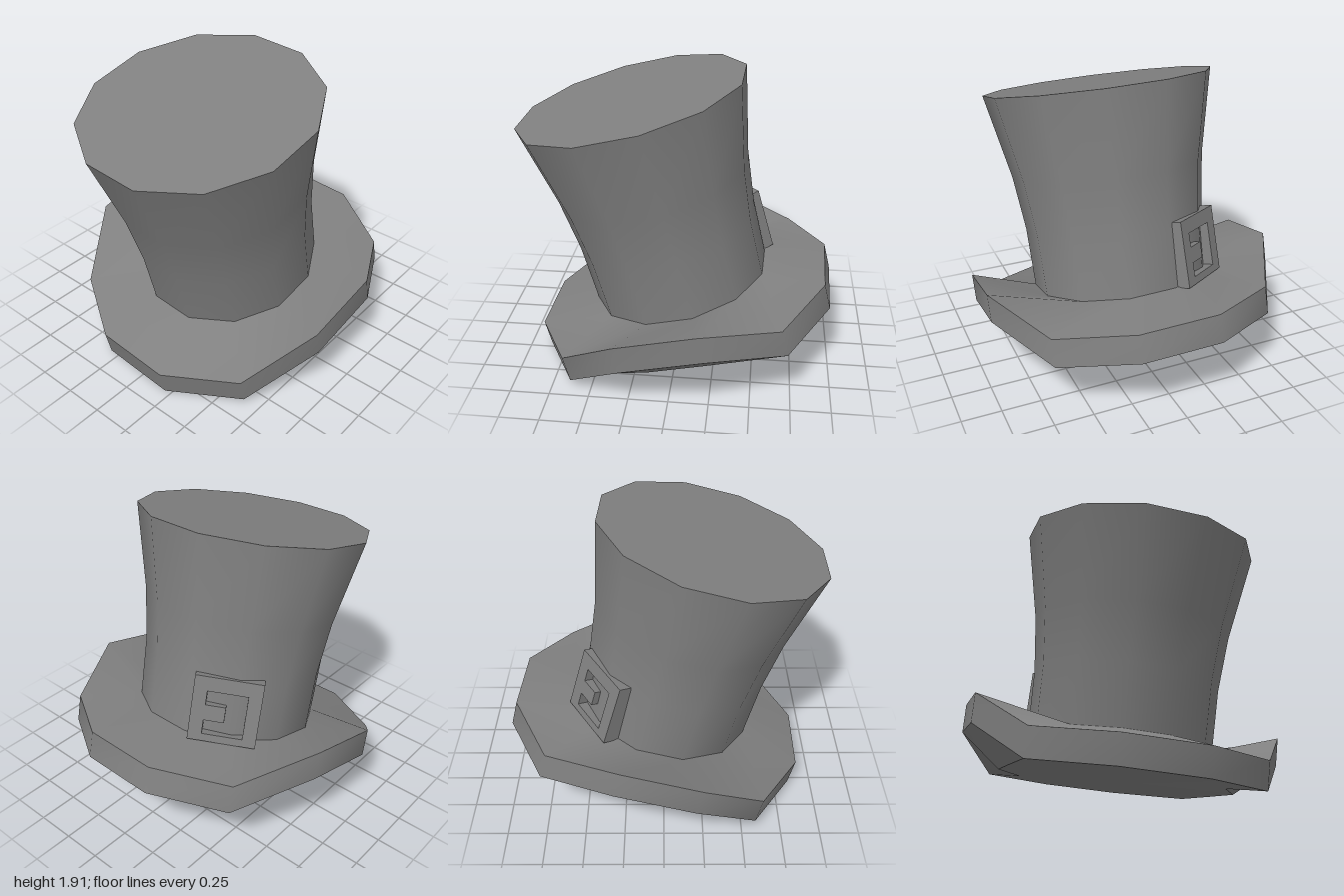
import * as THREE from 'three';
import { toCreasedNormals } from 'three/addons/utils/BufferGeometryUtils.js';

const SIDES = 12;
const deg = THREE.MathUtils.degToRad;
const material = new THREE.MeshStandardMaterial({ color: 0x808080 });

// Twelve-sided loft through [radius, height, lift] rings; lift curls the ring up at both sides
function loft(rings) {
  const point = (i, j) => {
    const a = deg(((i % SIDES) + 0.5) * 30 - 2.5);
    const [r, y, lift = 0] = rings[j];
    const up = Math.abs(Math.sin(a)) > 0.9 ? lift : 0;
    return [r * Math.sin(a), y + up, r * Math.cos(a)];
  };
  const pos = [];
  for (let j = 0; j < rings.length - 1; j++) {
    for (let i = 0; i < SIDES; i++) {
      const a = point(i, j), b = point(i + 1, j);
      const c = point(i + 1, j + 1), d = point(i, j + 1);
      if (rings[j][0] > 0) pos.push(...a, ...b, ...c);
      if (rings[j + 1][0] > 0) pos.push(...a, ...c, ...d);
    }
  }
  const g = new THREE.BufferGeometry();
  g.setAttribute('position', new THREE.Float32BufferAttribute(pos, 3));
  return toCreasedNormals(g, deg(36));
}

function addMesh(parent, name, geometry) {
  const mesh = new THREE.Mesh(geometry, material);
  mesh.name = name;
  parent.add(mesh);
  return mesh;
}

// Square plate with an opening and a prong reaching in from one side
function buckleGeometry() {
  const s = 0.21;
  const plate = new THREE.Shape([[-s, -s], [s, -s], [s, s], [-s, s]]
    .map(([x, y]) => new THREE.Vector2(x, y)));
  const w = 0.125, h = 0.14, prong = 0.05, drop = 0.022;
  plate.holes.push(new THREE.Path([
    [-w, h], [w, h], [w, -h], [-w, -h],
    [-w, -prong], [0, -prong], [0, prong], [-w, prong],
  ].map(([x, y]) => new THREE.Vector2(x, y - drop))));
  return new THREE.ExtrudeGeometry(plate, { depth: 0.12, bevelEnabled: false });
}

export function createModel() {
  const model = new THREE.Group();
  model.name = 'topHat';

  // The whole hat leans forward and a touch sideways
  const hat = new THREE.Group();
  hat.name = 'tiltedHat';
  hat.position.set(-0.006, 0.237, -0.068);
  hat.rotation.set(deg(14), 0, deg(-1.6));
  model.add(hat);

  // Brim: thick slab with a flat underside, sides curled up
  addMesh(hat, 'brim', loft([
    [0, 0], [0.73, 0], [0.985, 0, 0.205], [0.985, 0.175, 0.205], [0.58, 0.255],
  ]));

  // Crown: flares towards a flat top
  addMesh(hat, 'crown', loft([
    [0.58, 0.255], [0.587, 0.64], [0.625, 0.99], [0.735, 1.535], [0, 1.535],
  ]));

  // Buckle on the back right of the crown, following its slope
  const angle = deg(216.5);
  const buckle = addMesh(hat, 'buckle', buckleGeometry());
  buckle.position.set(0.495 * Math.sin(angle), 0.455, 0.495 * Math.cos(angle));
  buckle.rotation.set(deg(-2), deg(215), 0, 'YXZ');

  return model;
}
